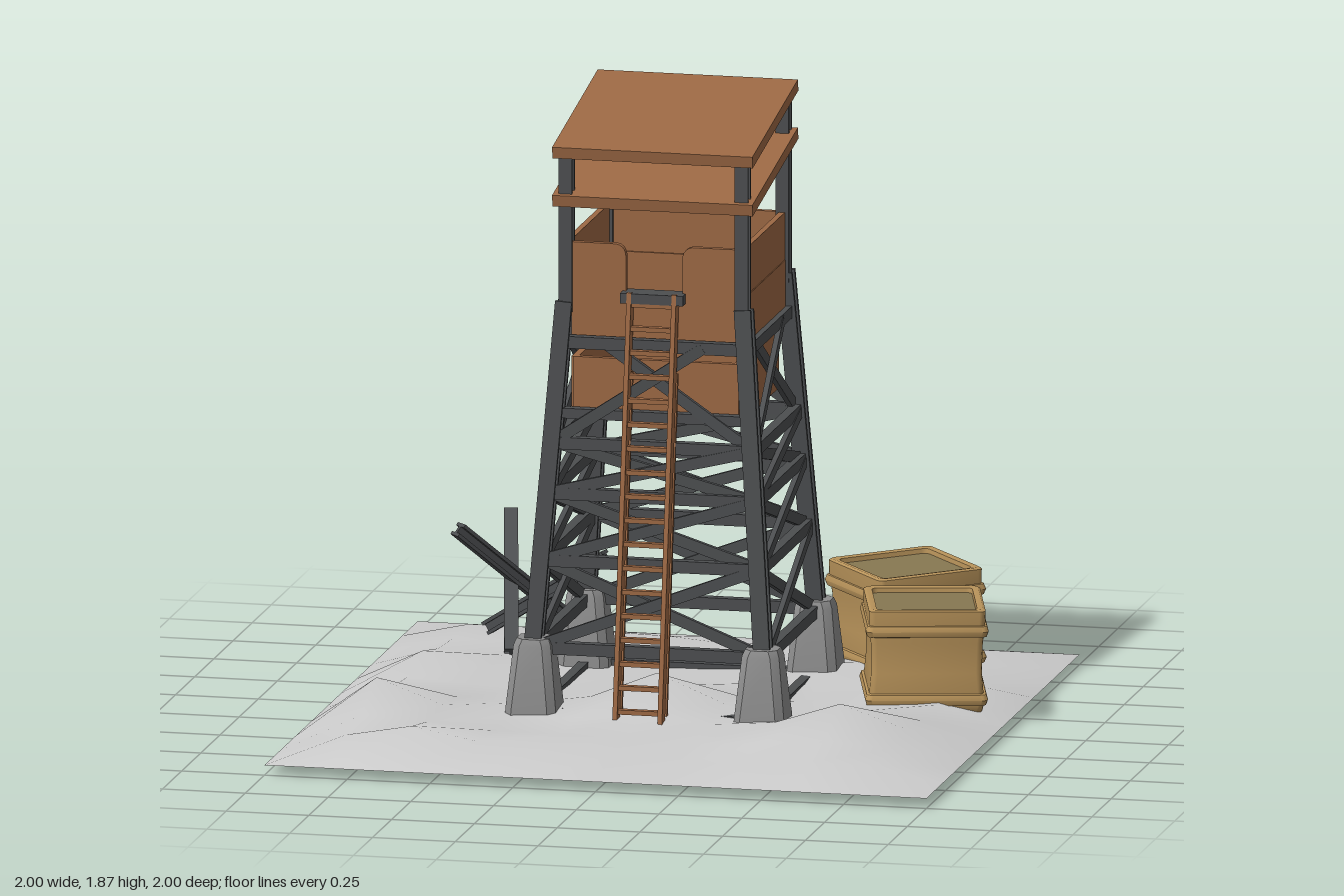
import * as THREE from 'three';
import { toCreasedNormals } from 'three/addons/utils/BufferGeometryUtils.js';

const mat = (color, side = THREE.FrontSide) => new THREE.MeshStandardMaterial({ color, side });
const STEEL = mat(0x4c4e50), WOOD = mat(0x9c6844), CONCRETE = mat(0x8c8c8c);
const TAN = mat(0xb8935a), FILL = mat(0x877852), GROUND = mat(0xcccccc, THREE.DoubleSide);
const V = (x, y, z) => new THREE.Vector3(x, y, z);

function add(parent, name, geometry, material, x = 0, y = 0, z = 0) {
  const mesh = new THREE.Mesh(geometry, material);
  mesh.name = name;
  mesh.position.set(x, y, z);
  parent.add(mesh);
  return mesh;
}

const box = (parent, name, w, h, d, x, y, z, material) =>
  add(parent, name, new THREE.BoxGeometry(w, h, d), material, x, y, z);

// I-section, flanges facing up and down
function iSection(w, t) {
  const a = w / 2, b = a - t, c = t / 2;
  return new THREE.Shape([[-a, -a], [a, -a], [a, -b], [c, -b], [c, b], [a, b], [a, a], [-a, a], [-a, b], [-c, b], [-c, -b], [-a, -b]]
    .map(([x, y]) => new THREE.Vector2(x, y)));
}

// Straight member from a to b; a plain bar or an I-beam
function beam(parent, name, a, b, w, h, material, ibeam = false) {
  const length = a.distanceTo(b);
  const geometry = ibeam
    ? new THREE.ExtrudeGeometry(iSection(w, w * 0.25), { depth: length, bevelEnabled: false }).translate(0, 0, -length / 2)
    : new THREE.BoxGeometry(w, h, length);
  const mesh = add(parent, name, geometry, material);
  const up = Math.abs(b.y - a.y) > 0.9 * length ? V(0, 0, 1) : V(0, 1, 0);
  mesh.position.copy(a).lerp(b, 0.5);
  mesh.quaternion.setFromRotationMatrix(new THREE.Matrix4().lookAt(b, a, up));
}

// Loft of rounded squares: rings are [half width, y]
function squareLoft(rings, corner, steps) {
  const pos = [], idx = [], n = 4 * (steps + 1);
  for (const [half, y] of rings) {
    const r = Math.min(corner, half * 0.9);
    for (let q = 0; q < 4; q++) for (let s = 0; s <= steps; s++) {
      const a = (q + s / steps) * Math.PI / 2, m = q * Math.PI / 2 + Math.PI / 4;
      pos.push((half - r) * Math.sign(Math.cos(m)) + r * Math.cos(a), y,
        (half - r) * Math.sign(Math.sin(m)) + r * Math.sin(a));
    }
  }
  for (let i = 0; i < rings.length - 1; i++) for (let j = 0; j < n; j++) {
    const a = i * n + j, b = i * n + (j + 1) % n;
    idx.push(a, a + n, b, b, a + n, b + n);
  }
  const g = new THREE.BufferGeometry();
  g.setAttribute('position', new THREE.Float32BufferAttribute(pos, 3));
  g.setIndex(idx);
  return toCreasedNormals(g, 0.7);
}

// Uneven ground that thins out to a level rim
function makeGround(root) {
  const bumps = [[0, 0.2, 0.11], [-0.8, 0.4, 0.1], [0.6, 0.4, 0.09], [-0.6, 0.8, 0.05], [-0.8, -0.2, 0.05],
    [0.8, -0.2, 0.04], [0.4, -0.4, 0.03], [0.2, -0.8, -0.075], [-0.2, -0.6, -0.02], [0.2, 0.8, -0.03]];
  const g = new THREE.PlaneGeometry(2, 2, 10, 10).rotateX(-Math.PI / 2);
  const p = g.attributes.position;
  for (let i = 0; i < p.count; i++) {
    const x = p.getX(i), z = p.getZ(i);
    let y = Math.max(Math.abs(x), Math.abs(z)) > 0.95 ? 0.03 : 0.075;
    if (y > 0.05) for (const [bx, bz, h] of bumps) y += h * Math.exp(-((x - bx) ** 2 + (z - bz) ** 2) / 0.03);
    p.setY(i, Math.max(0, y));
  }
  g.computeVertexNormals();
  add(root, 'ground', g, GROUND);
}

const spread = y => 0.345 - 0.075 * (y - 0.3);   // leg distance from the tower axis

function makeFrame(tower) {
  // Legs, posts and footings
  for (const sx of [-1, 1]) for (const sz of [-1, 1]) {
    const at = y => V(sx * spread(y), y, sz * spread(y));
    beam(tower, 'leg', at(0.15), at(1.3), 0.05, 0.05, STEEL, true);
    beam(tower, 'roofPost', V(sx * 0.266, 1.27, sz * 0.266), V(sx * 0.266, sz > 0 ? 1.745 : 1.84, sz * 0.266), 0.04, 0.04, STEEL, true);
    add(tower, 'footing', squareLoft([[0.001, 0.06], [0.078, 0.06], [0.075, 0.1], [0.056, 0.28], [0.048, 0.3], [0.001, 0.3]], 0.022, 1),
      CONCRETE, sx * 0.345, 0, sz * 0.345);
  }
  // Horizontal ties and cross braces on each face
  const levels = [0.27, 0.53, 0.73, 0.88, 1.18];
  for (let k = 0; k < 4; k++) {
    const side = new THREE.Group();
    side.name = 'frameSide';
    side.rotation.y = k * Math.PI / 2;
    tower.add(side);
    levels.forEach((y, i) => {
      const h = spread(y);
      box(side, 'tie', 2 * h, 0.036, 0.03, 0, y, h, STEEL);
      if (i === levels.length - 1) return;
      const y2 = levels[i + 1], h2 = spread(y2), reach = i === 3 ? 0.15 : h2;
      for (const s of [-1, 1])
        beam(side, 'crossBrace', V(-s * h, y, h + s * 0.008), V(s * reach, y2, h2 + s * 0.008), 0.016, 0.034, STEEL);
    });
    box(side, 'groundTie', 0.6, 0.03, 0.03, 0, 0.075, 0.34, STEEL);
  }
  box(tower, 'floorTie', 0.56, 0.03, 0.03, 0, 0.965, 0.275, STEEL);
}

// Half of the entrance wall with a rounded upper corner beside the gap
function entranceHalf() {
  const s = new THREE.Shape();
  s.moveTo(0.085, 1.2);
  s.lineTo(0.25, 1.2);
  s.lineTo(0.25, 1.48);
  s.lineTo(0.115, 1.48);
  s.quadraticCurveTo(0.085, 1.475, 0.085, 1.44);
  s.closePath();
  return new THREE.ExtrudeGeometry(s, { depth: 0.02, bevelEnabled: false, curveSegments: 5 });
}

function makeCabin(tower) {
  box(tower, 'floor', 0.52, 0.025, 0.52, 0, 1.19, 0, WOOD);
  for (let k = 0; k < 4; k++) {
    const wall = new THREE.Group();
    wall.name = 'cabinWall';
    wall.rotation.y = k * Math.PI / 2;
    tower.add(wall);
    box(wall, 'lowerPanel', 0.5, 0.18, 0.02, 0, 1.04, 0.245, WOOD);
    if (k === 0) {
      for (const s of [0, 1])
        add(wall, 'entrancePanel', entranceHalf(), WOOD, 0, 0, s ? 0.275 : 0.255).rotation.y = s * Math.PI;
      box(wall, 'entranceSill', 0.17, 0.12, 0.02, 0, 1.26, 0.265, WOOD);
    } else {
      box(wall, 'lowerPlank', 0.5, 0.14, 0.022, 0, 1.268, 0.265, WOOD);
      box(wall, 'upperPlank', 0.5, 0.142, 0.018, 0, 1.41, 0.265, WOOD);
    }
  }
  // Two sloping roof decks
  for (const y of [1.658, 1.803])
    box(tower, 'roofDeck', 0.605, 0.035, 0.605, 0, y, 0, WOOD).rotation.x = 0.175;
}

function makeLadder(root) {
  const foot = V(0, 0.06, 0.44), top = V(0, 1.34, 0.25);
  for (const s of [-1, 1]) {
    const dx = V(s * 0.068, 0, 0);
    beam(root, 'ladderRail', foot.clone().add(dx), top.clone().add(dx), 0.014, 0.04, WOOD);
    beam(root, 'ladderBackRail', V(s * 0.068, 0.08, 0.385), V(s * 0.068, 1.1, 0.24), 0.012, 0.014, WOOD);
  }
  for (let i = 0; i < 18; i++) {
    const p = foot.clone().lerp(top, (i + 0.8) / 18.3);
    box(root, 'ladderRung', 0.136, 0.014, 0.022, p.x, p.y, p.z, WOOD);
  }
  box(root, 'ladderLanding', 0.19, 0.03, 0.07, 0, 1.325, 0.235, STEEL);
}

// Banded crate with a filled, recessed top
function makeCrate(root, x, z, turn, base, tilt) {
  const crate = new THREE.Group();
  crate.name = 'crate';
  crate.position.set(x, base, z);
  crate.rotation.set(0, turn, tilt);
  root.add(crate);
  add(crate, 'crateBody', squareLoft([[0.001, 0], [0.15, 0], [0.165, 0.015], [0.171, 0.04], [0.163, 0.13], [0.165, 0.22],
    [0.171, 0.27], [0.172, 0.318], [0.165, 0.323], [0.148, 0.32], [0.146, 0.3]], 0.018, 3), TAN);
  for (const y of [0.052, 0.258])
    add(crate, 'crateBand', squareLoft([[0.16, y - 0.02], [0.176, y - 0.016], [0.181, y], [0.176, y + 0.016], [0.16, y + 0.02]], 0.018, 3), TAN);
  box(crate, 'crateFill', 0.3, 0.02, 0.3, 0, 0.296, 0, FILL);
}

function makeBarricade(root) {
  const g = new THREE.Group();
  g.name = 'barricade';
  root.add(g);
  for (const [a, b] of [[[-0.69, 0.40, -0.88], [-0.58, 0.08, -0.41]],
    [[-0.76, 0.43, -0.49], [-0.44, 0.06, -0.81]], [[-0.71, 0.1, -0.66], [-0.33, 0.35, -0.58]]])
    beam(g, 'barricadeBeam', V(...a), V(...b), 0.042, 0.042, STEEL, true);
}

export function createModel() {
  const root = new THREE.Group();
  root.name = 'watchtower';
  makeGround(root);
  const tower = new THREE.Group();
  tower.name = 'tower';
  tower.position.z = -0.042;
  root.add(tower);
  makeFrame(tower);
  makeCabin(tower);
  makeLadder(root);
  makeCrate(root, 0.563, -0.625, 0.7, 0.045, 0.01);
  makeCrate(root, 0.718, -0.18, 0.28, 0.042, -0.01);
  makeBarricade(root);
  return root;
}
